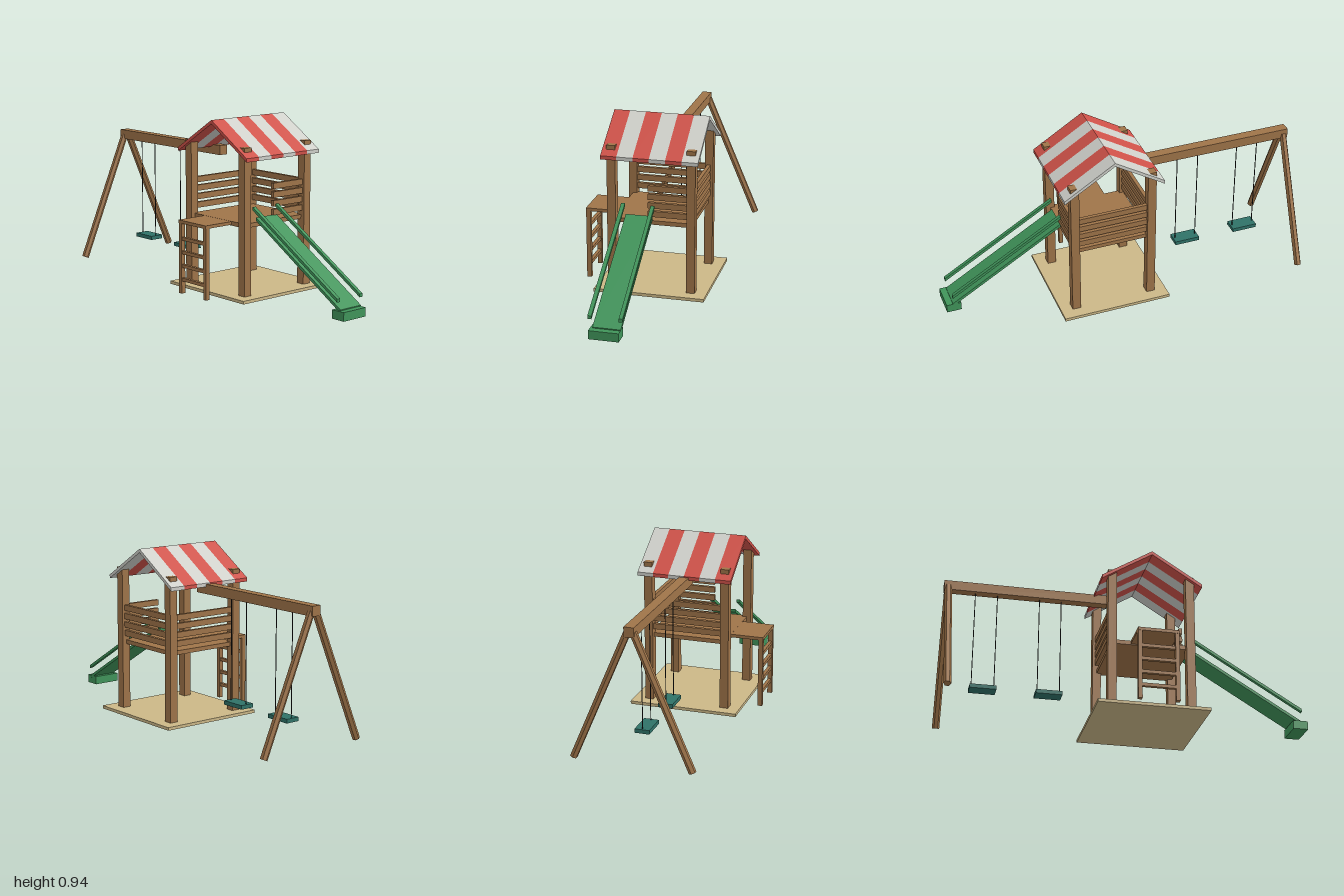
import * as THREE from 'three';

const mat = (name, color) => {
  const m = new THREE.MeshStandardMaterial({ color });
  m.name = name;
  return m;
};

export function createModel() {
  const root = new THREE.Group();
  root.name = 'playground';
  const wood = mat('wood', 0x9f7449);
  const sand = mat('sand', 0xcbb787);
  const red = mat('red canvas', 0xcf5249);
  const white = mat('white canvas', 0xcfd0ca);
  const green = mat('green plastic', 0x40945a);
  const teal = mat('teal seat', 0x2f7268);
  const dark = mat('dark rope', 0x2a2a2a);

  const group = (name) => {
    const g = new THREE.Group();
    g.name = name;
    root.add(g);
    return g;
  };
  const add = (parent, name, geometry, material) => {
    const mesh = new THREE.Mesh(geometry, material);
    mesh.name = name;
    parent.add(mesh);
    return mesh;
  };
  // Box from its minimum and maximum on each axis
  const box = (parent, name, material, [x0, x1], [y0, y1], [z0, z1]) => {
    const mesh = add(parent, name, new THREE.BoxGeometry(x1 - x0, y1 - y0, z1 - z0), material);
    mesh.position.set((x0 + x1) / 2, (y0 + y1) / 2, (z0 + z1) / 2);
    return mesh;
  };

  // Tower: sand base, corner posts and deck
  const tower = group('tower');
  box(tower, 'sandBase', sand, [-0.194, 0.416], [0, 0.017], [-0.335, 0.273]);
  for (const x of [-0.106, 0.328])
    for (const z of [0.187, -0.247])
      box(tower, 'post', wood, [x - 0.024, x + 0.024], [0.016, 0.813], [z - 0.0235, z + 0.0235]);
  box(tower, 'deck', wood, [-0.106, 0.328], [0.381, 0.404], [-0.247, 0.187]);

  // Railing boards on the left, back and half of the right side
  const railing = group('railing');
  for (let i = 0; i < 4; i++) {
    const y = [0.428 + i * 0.0475, 0.46 + i * 0.0475];
    box(railing, 'sideBoard', wood, [-0.116, -0.096], y, [-0.24, 0.18]);
    box(railing, 'backBoard', wood, [-0.1, 0.32], y, [-0.257, -0.237]);
    box(railing, 'slideSideBoard', wood, [0.318, 0.338], y, [-0.24, -0.01]);
  }

  // Ladder with its landing
  const ladder = group('ladder');
  box(ladder, 'landing', wood, [0, 0.224], [0.386, 0.4035], [0.18, 0.369]);
  for (const x of [0, 0.202])
    box(ladder, 'stringer', wood, [x, x + 0.022], [0, 0.387], [0.343, 0.368]);
  for (let i = 0; i < 4; i++) {
    const y = 0.078 + i * 0.0748;
    box(ladder, 'rung', wood, [0.012, 0.212], [y - 0.009, y + 0.009], [0.346, 0.365]);
  }

  // Striped gable roof: six chevron slices
  const roof = group('roof');
  const chevron = new THREE.Shape([
    [-0.28, 0.745], [0, 0.92], [0.28, 0.745], [0.28, 0.765], [0, 0.94], [-0.28, 0.765],
  ].map(([x, y]) => new THREE.Vector2(x, y)));
  const stripe = 0.526 / 6;
  for (let i = 0; i < 6; i++) {
    const slice = add(roof, 'roofStripe',
      new THREE.ExtrudeGeometry(chevron, { depth: stripe, bevelEnabled: false }),
      i % 2 ? red : white);
    slice.position.set(0.112, 0, -0.293 + i * stripe);
  }

  // Slide: bed and two rails on the same slope, and a foot block
  const slide = group('slide');
  const sloped = (name, topY, [z0, z1]) => {
    const [x0, x1, drop, t] = [0.335, 0.965, 0.379, 0.018];
    const profile = new THREE.Shape([
      new THREE.Vector2(x0, topY - t), new THREE.Vector2(x1, topY - drop - t),
      new THREE.Vector2(x1, topY - drop), new THREE.Vector2(x0, topY),
    ]);
    const mesh = add(slide, name,
      new THREE.ExtrudeGeometry(profile, { depth: z1 - z0, bevelEnabled: false }), green);
    mesh.position.z = z0;
  };
  sloped('slideBed', 0.431, [-0.036, 0.112]);
  sloped('slideRail', 0.491, [-0.046, -0.026]);
  sloped('slideRail', 0.491, [0.116, 0.137]);
  box(slide, 'slideFoot', green, [0.918, 1], [0, 0.047], [-0.035, 0.124]);

  // Swing frame: top beam and six-sided splayed legs
  const swing = group('swingSet');
  const midZ = -0.029;
  box(swing, 'swingBeam', wood, [-1, -0.09], [0.706, 0.759], [midZ - 0.027, midZ + 0.027]);
  for (const side of [1, -1]) {
    const geo = new THREE.CylinderGeometry(0.02, 0.02, 0.767, 6).rotateY(Math.PI / 2).toNonIndexed();
    geo.computeVertexNormals();
    const leg = add(swing, 'swingLeg', geo, wood);
    leg.position.set(-0.977, 0.3745, midZ + side * 0.1665);
    leg.rotation.x = -side * 0.406;
  }

  // Two swings hung on ropes
  for (const x of [-0.765, -0.409]) {
    box(swing, 'swingSeat', teal, [x - 0.072, x + 0.072], [0.131, 0.153], [midZ - 0.04, midZ + 0.04]);
    for (const dx of [-0.061, 0.061]) {
      const rope = add(swing, 'swingRope', new THREE.CylinderGeometry(0.0025, 0.0025, 0.56, 6), dark);
      rope.position.set(x + dx, 0.43, midZ);
    }
  }
  return root;
}
